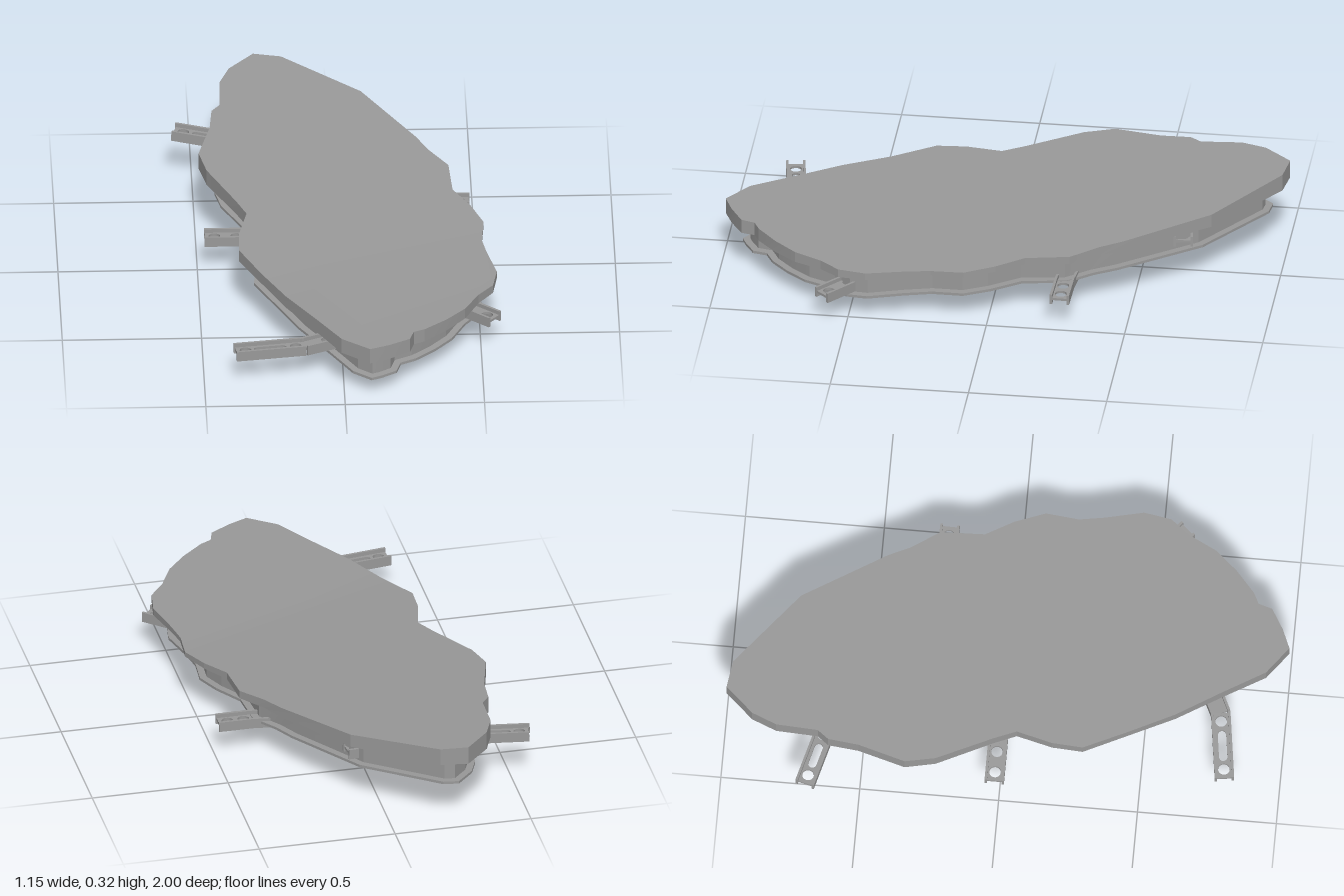
import * as THREE from 'three';
import { toCreasedNormals } from 'three/addons/utils/BufferGeometryUtils.js';

const mat = new THREE.MeshStandardMaterial({ color: 0x999999 });

// Plan outline as [x, z]; indices FOLD_A and FOLD_B lie on the crease of the deck
const outline = [
  [-0.27, -1], [-0.17, -0.985], [0.11, -0.765], [0.3, -0.47], [0.34, -0.39], [0.41, -0.29],
  [0.42, -0.13], [0.48, -0.03], [0.525, 0.08], [0.515, 0.2], [0.53, 0.29], [0.562, 0.43],
  [0.545, 0.53], [0.49, 0.6], [0.44, 0.7], [0.37, 0.78], [0.29, 0.85], [0.25, 0.87],
  [0.235, 0.92], [0.16, 0.965], [0.09, 0.995], [-0.01, 0.92], [-0.1, 0.77], [-0.2, 0.61],
  [-0.282, 0.446], [-0.3, 0.41], [-0.36, 0.29], [-0.355, 0.18], [-0.325, 0.05], [-0.36, -0.03],
  [-0.46, -0.23], [-0.485, -0.34], [-0.44, -0.51], [-0.43, -0.62], [-0.4, -0.66],
  [-0.395, -0.81], [-0.36, -0.9],
];
const FOLD_A = 9, FOLD_B = 24;

// Deck top: nearly level at the front, rising towards the back
const topY = (x, z) => Math.max(0.228 - 0.015 * x, 0.251 - 0.0645 * z - 0.0353 * x);
// Deck underside: one sloping plane, which the rim beam follows
const underY = (x, z) => 0.2125 - 0.045 * z;

// Outline moved inwards by d, with mitred corners
function inset(d) {
  const n = outline.length;
  return outline.map(([x, z], i) => {
    const p = outline[(i + n - 1) % n], q = outline[(i + 1) % n];
    const a = new THREE.Vector2(-(z - p[1]), x - p[0]).normalize();
    const b = new THREE.Vector2(-(q[1] - z), q[0] - x).normalize();
    const k = d / Math.max(0.5, 1 + a.dot(b));
    return [x + (a.x + b.x) * k, z + (a.y + b.y) * k];
  });
}

const ringAt = (d, dy, height) => inset(d).map(([x, z]) => [x, height(x, z) + dy, z]);

function meshFrom(tris, name) {
  const g = new THREE.BufferGeometry();
  g.setAttribute('position', new THREE.Float32BufferAttribute(tris.flat(), 3));
  const m = new THREE.Mesh(toCreasedNormals(g, 0.15), mat);
  m.name = name;
  return m;
}

// Wall triangles between two rings, lower first on an outer side
function band(lo, hi, out) {
  lo.forEach((_, i) => {
    const j = (i + 1) % lo.length;
    out.push(lo[j], lo[i], hi[i], lo[j], hi[i], hi[j]);
  });
}

// Faces on both sides of the crease
function cap(ring, up, out) {
  const halves = [ring.slice(FOLD_A, FOLD_B + 1), [...ring.slice(FOLD_B), ...ring.slice(0, FOLD_A + 1)]];
  for (const h of halves) {
    const flat = h.map(p => new THREE.Vector2(p[0], p[2]));
    for (const [a, b, c] of THREE.ShapeUtils.triangulateShape(flat, [])) {
      const area = THREE.ShapeUtils.area([flat[a], flat[b], flat[c]]);
      if ((area < 0) === up) out.push(h[a], h[b], h[c]);
      else out.push(h[a], h[c], h[b]);
    }
  }
}

function deck() {
  const tris = [], lo = ringAt(0, 0, underY), hi = ringAt(0, 0, topY);
  band(lo, hi, tris);
  cap(hi, true, tris);
  cap(lo, false, tris);
  return meshFrom(tris, 'deck');
}

// Rim beam under the deck, flanges pointing outwards: [inset, offset from the underside]
function rimBeam() {
  const section = [
    [0.055, -0.108], [0.055, -0.098], [0.08, -0.098], [0.08, -0.012],
    [0.055, -0.012], [0.055, 0], [0.088, 0], [0.088, -0.108],
  ].map(([d, dy]) => ringAt(d, dy, underY));
  const tris = [];
  section.forEach((r, i) => band(r, section[(i + 1) % section.length], tris));
  return meshFrom(tris, 'rimBeam');
}

// Rounded opening from x0 to x1; a plain circle when they match
function opening(x0, x1, r) {
  const p = new THREE.Path();
  p.absarc(x1, 0, r, -Math.PI / 2, Math.PI / 2);
  p.absarc(x0, 0, r, Math.PI / 2, Math.PI * 1.5);
  p.closePath();
  return p;
}

// One straight piece of bracket: perforated web between two side flanges
function bracketPiece(a, b, isFirst) {
  const W = 0.07, H = 0.038, T = 0.009;
  const dir = b.clone().sub(a), L = dir.length();
  dir.normalize();
  const side = new THREE.Vector3().crossVectors(dir, new THREE.Vector3(0, 1, 0)).normalize();
  const up = new THREE.Vector3().crossVectors(side, dir);

  const shape = new THREE.Shape();
  shape.moveTo(0, -W / 2).lineTo(L, -W / 2).lineTo(L, W / 2).lineTo(0, W / 2).closePath();
  if (isFirst) shape.holes.push(opening(0.034, 0.034, 0.021));
  if (L > 0.1) shape.holes.push(opening(L - 0.03, L - 0.03, 0.021));
  if (L > 0.18) shape.holes.push(opening(0.08, L - 0.08, 0.015));
  const webGeo = new THREE.ExtrudeGeometry(shape, { depth: T, bevelEnabled: false, curveSegments: 8 });
  webGeo.translate(0, 0, -T / 2).rotateX(-Math.PI / 2);

  const piece = new THREE.Group();
  piece.name = 'bracketPiece';
  const web = new THREE.Mesh(webGeo, mat);
  web.name = 'web';
  piece.add(web);
  for (const s of [-1, 1]) {
    const flange = new THREE.Mesh(new THREE.BoxGeometry(L + 0.006, H, T), mat);
    flange.position.set(L / 2, 0, s * (W - T) / 2);
    flange.name = 'flange';
    piece.add(flange);
  }
  piece.quaternion.setFromRotationMatrix(new THREE.Matrix4().makeBasis(dir, up, side));
  piece.position.copy(a);
  return piece;
}

// Bent brackets, each from its outer end to its inner end
const brackets = {
  frontRightBracket: [[-0.385, 0.114, 0.803], [-0.14, 0.114, 0.768], [-0.03, 0.112, 0.715], [0.25, 0.024, 0.59]],
  frontLeftBracket: [[0.548, 0.114, 0.588], [0.43, 0.114, 0.485], [0.23, 0.112, 0.4], [-0.055, 0.022, 0.315]],
  middleRightBracket: [[-0.472, 0.125, -0.018], [-0.33, 0.125, -0.018], [-0.1, 0.125, -0.02], [0.245, 0.113, -0.055]],
  middleLeftBracket: [[0.482, 0.118, -0.262], [0.36, 0.12, -0.265], [0.15, 0.12, -0.29], [-0.19, 0.098, -0.315]],
  backRightBracket: [[-0.562, 0.183, -0.692], [-0.34, 0.168, -0.635], [-0.2, 0.166, -0.625], [0.1, 0.174, -0.66]],
};

export function createModel() {
  const model = new THREE.Group();
  model.name = 'platform';
  model.add(deck(), rimBeam());
  for (const [name, pts] of Object.entries(brackets)) {
    const g = new THREE.Group();
    g.name = name;
    const v = pts.map(p => new THREE.Vector3(...p));
    for (let i = 0; i < v.length - 1; i++) g.add(bracketPiece(v[i], v[i + 1], i === 0));
    model.add(g);
  }
  return model;
}
